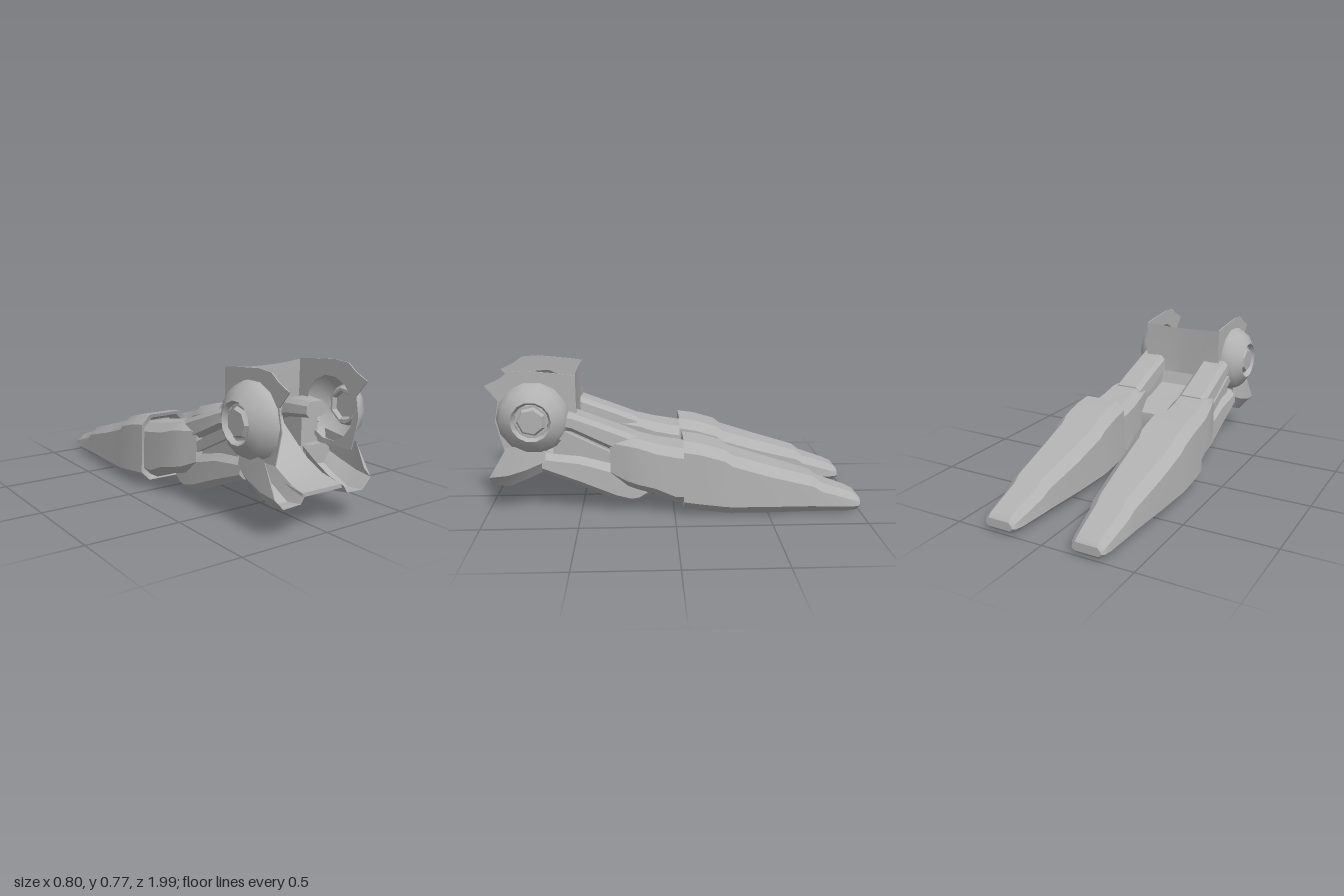
import * as THREE from 'three';
import { toCreasedNormals } from 'three/addons/utils/BufferGeometryUtils.js';

const grey = new THREE.MeshStandardMaterial({ color: 0xb2b2b2, side: THREE.DoubleSide });
grey.name = 'plain grey';

function add(parent, name, geometry, crease = 0.6) {
  const mesh = new THREE.Mesh(toCreasedNormals(geometry, crease), grey);
  mesh.name = name;
  parent.add(mesh);
  return mesh;
}

// Skin a row of cross-sections (arrays of [x, y, z]); closed rings get end caps
function loft(rings, closed = true) {
  const n = rings[0].length, index = [];
  for (let i = 0; i < rings.length - 1; i++) {
    for (let j = 0; j < (closed ? n : n - 1); j++) {
      const k = (j + 1) % n, a = i * n + j, b = i * n + k, c = a + n, d = b + n;
      index.push(a, c, b, b, c, d);
    }
  }
  if (closed) {
    const last = (rings.length - 1) * n;
    for (let j = 1; j < n - 1; j++) {
      index.push(0, j, j + 1, last, last + j + 1, last + j);
    }
  }
  const g = new THREE.BufferGeometry();
  g.setAttribute('position', new THREE.Float32BufferAttribute(rings.flat(2), 3));
  g.setIndex(index);
  return g;
}

// Chamfered section, slightly narrower at the top
function section([z, cx, hw, y0, y1, c, taper = 0.94]) {
  const t = hw * taper;
  return [
    [-hw + c, y0], [hw - c, y0], [hw, y0 + c], [t, y1 - c],
    [t - c, y1], [c - t, y1], [-t, y1 - c], [-hw, y0 + c],
  ].map(([x, y]) => [cx + x, y, z]);
}
const beam = (rows) => loft(rows.map(section));

// Flat side profile given as [z, y], extruded along x and centred on x
function profile(points, width, x, hole) {
  const shape = new THREE.Shape(points.map(([z, y]) => new THREE.Vector2(z, y)));
  if (hole) shape.holes.push(new THREE.Path(hole));
  const g = new THREE.ExtrudeGeometry(shape, { depth: width, bevelEnabled: false });
  return g.rotateY(-Math.PI / 2).translate(x + width / 2, 0, 0);
}

function buildSide() {
  const side = new THREE.Group();

  // Long tapering prong with a hollow mouth and raised cuff
  add(side, 'prong', beam([
    [-0.12, 0.24, 0.125, 0.08, 0.36, 0.05],
    [-0.055, 0.24, 0.135, 0.06, 0.39, 0.05],
    [-0.045, 0.24, 0.155, 0.042, 0.41, 0.05],
    [-0.14, 0.24, 0.16, 0.03, 0.395, 0.05],
    [-0.26, 0.24, 0.16, 0.015, 0.36, 0.05],
    [-0.30, 0.24, 0.156, 0.01, 0.33, 0.05],
    [-0.50, 0.24, 0.145, 0.005, 0.268, 0.05],
    [-0.74, 0.243, 0.122, 0.003, 0.198, 0.045],
    [-0.785, 0.244, 0.116, 0.003, 0.163, 0.04],
    [-0.94, 0.248, 0.1, 0.0, 0.11, 0.035],
    [-0.985, 0.25, 0.092, 0.008, 0.088, 0.028],
    [-1.0, 0.25, 0.08, 0.025, 0.07, 0.015],
  ]), 0.5);

  // Thick forearm sliding into the prong
  add(side, 'forearm', beam([
    [0.34, 0.21, 0.085, 0.2, 0.42, 0.03],
    [0.25, 0.22, 0.11, 0.15, 0.42, 0.04],
    [0.19, 0.222, 0.125, 0.135, 0.412, 0.04],
    [0.1, 0.225, 0.133, 0.11, 0.388, 0.045],
    [0.0, 0.225, 0.14, 0.068, 0.37, 0.045],
    [-0.13, 0.23, 0.135, 0.06, 0.35, 0.045],
  ]));

  // Upper and lower arm beams with a recessed web between them
  add(side, 'upperBeam', beam([
    [0.69, 0.195, 0.065, 0.47, 0.55, 0.02],
    [0.54, 0.205, 0.09, 0.45, 0.55, 0.025],
    [0.3, 0.21, 0.09, 0.335, 0.46, 0.025],
    [0.2, 0.21, 0.09, 0.3, 0.42, 0.025],
  ]));
  add(side, 'lowerBeam', beam([
    [0.7, 0.205, 0.085, 0.225, 0.33, 0.03],
    [0.5, 0.205, 0.09, 0.145, 0.31, 0.035],
    [0.31, 0.205, 0.095, 0.062, 0.26, 0.04],
    [0.23, 0.205, 0.092, 0.04, 0.23, 0.04],
    [0.19, 0.205, 0.09, 0.045, 0.22, 0.04],
    [0.12, 0.205, 0.08, 0.095, 0.2, 0.03],
  ]));
  add(side, 'armWeb', profile(
    [[0.64, 0.28], [0.64, 0.5], [0.5, 0.5], [0.25, 0.37], [0.25, 0.16]], 0.11, 0.2));

  // Sloping piston rod in the recess
  const rod = new THREE.BoxGeometry(0.04, 0.05, 0.34);
  add(side, 'pistonRod', rod.rotateX(-0.46).translate(0.27, 0.37, 0.46));

  // Round joint cover: hollow dome with a sunken ring and raised hub
  const dome = [[0.19, 0.235], [0.19, 0.265], [0.165, 0.31], [0.105, 0.35],
    [0.09, 0.325], [0.078, 0.325], [0.065, 0.345], [0, 0.345]];
  const cover = new THREE.LatheGeometry(dome.slice(0, 5).map(p => new THREE.Vector2(...p)), 14);
  const hub = new THREE.LatheGeometry(dome.slice(4).map(p => new THREE.Vector2(...p)), 7);
  add(side, 'jointCover', cover.rotateZ(-Math.PI / 2).translate(0, 0.52, 0.74), 0.7);
  add(side, 'jointHub', hub.rotateZ(-Math.PI / 2).translate(0, 0.52, 0.74), 0.4);

  // Thin side plate with a ragged front edge, open behind the cover
  const hole = Array.from({ length: 14 }, (_, i) => {
    const a = i / 14 * Math.PI * 2;
    return new THREE.Vector2(0.74 + Math.cos(a) * 0.165, 0.52 + Math.sin(a) * 0.165);
  });
  add(side, 'sidePlate', profile([
    [0.515, 0.46], [0.515, 0.74], [0.6, 0.752], [0.77, 0.768], [0.86, 0.762],
    [0.91, 0.725], [0.985, 0.69], [0.92, 0.61], [0.94, 0.5], [0.92, 0.42],
    [0.9, 0.34], [0.68, 0.33], [0.6, 0.4]], 0.006, 0.238, hole));

  // Open cheek scoop under the joint
  const scoop = [
    [0.68, [[0.12, 0.33], [0.14, 0.24], [0.25, 0.235], [0.285, 0.29], [0.27, 0.4]]],
    [0.78, [[0.12, 0.27], [0.14, 0.19], [0.25, 0.185], [0.3, 0.25], [0.285, 0.38]]],
    [0.88, [[0.12, 0.22], [0.145, 0.145], [0.25, 0.145], [0.305, 0.22], [0.29, 0.37]]],
    [0.975, [[0.12, 0.2], [0.145, 0.16], [0.25, 0.155], [0.302, 0.21], [0.285, 0.25]]],
  ].map(([z, pts]) => pts.map(([x, y], i) => [x, y, i === 4 ? Math.min(z, 0.945) : z]));
  add(side, 'cheekScoop', loft(scoop, false), 0.5);
  return side;
}

export function createModel() {
  const model = new THREE.Group();
  model.name = 'twinProngAssembly';

  // Matching left and right halves
  const left = buildSide();
  left.name = 'leftSide';
  const right = buildSide();
  right.name = 'rightSide';
  right.scale.x = -1;
  model.add(left, right);

  // Central belly bridging both arms, with the front tongue
  add(model, 'centralBelly', profile([
    [0.515, 0.45], [0.53, 0.415], [0.6, 0.36], [0.65, 0.32], [0.72, 0.27],
    [0.82, 0.225], [0.96, 0.205], [0.96, 0.185], [0.82, 0.195], [0.66, 0.215],
    [0.45, 0.15], [0.26, 0.095], [0.2, 0.13], [0.17, 0.2], [0.18, 0.28],
    [0.28, 0.33], [0.36, 0.34], [0.49, 0.38]], 0.25, 0));

  // Thin back wall, gently bowed, closing the open shell
  const wall = [[0.43, 0.125], [0.47, 0.135], [0.55, 0.238], [0.738, 0.24]].map(([y, w]) =>
    [-1, -0.4, 0, 0.4, 1].map(t => [t * w, y - (1 - t * t) * 0.01, 0.515 + (1 - t * t) * 0.012]));
  add(model, 'backWall', loft(wall, false));
  return model;
}
